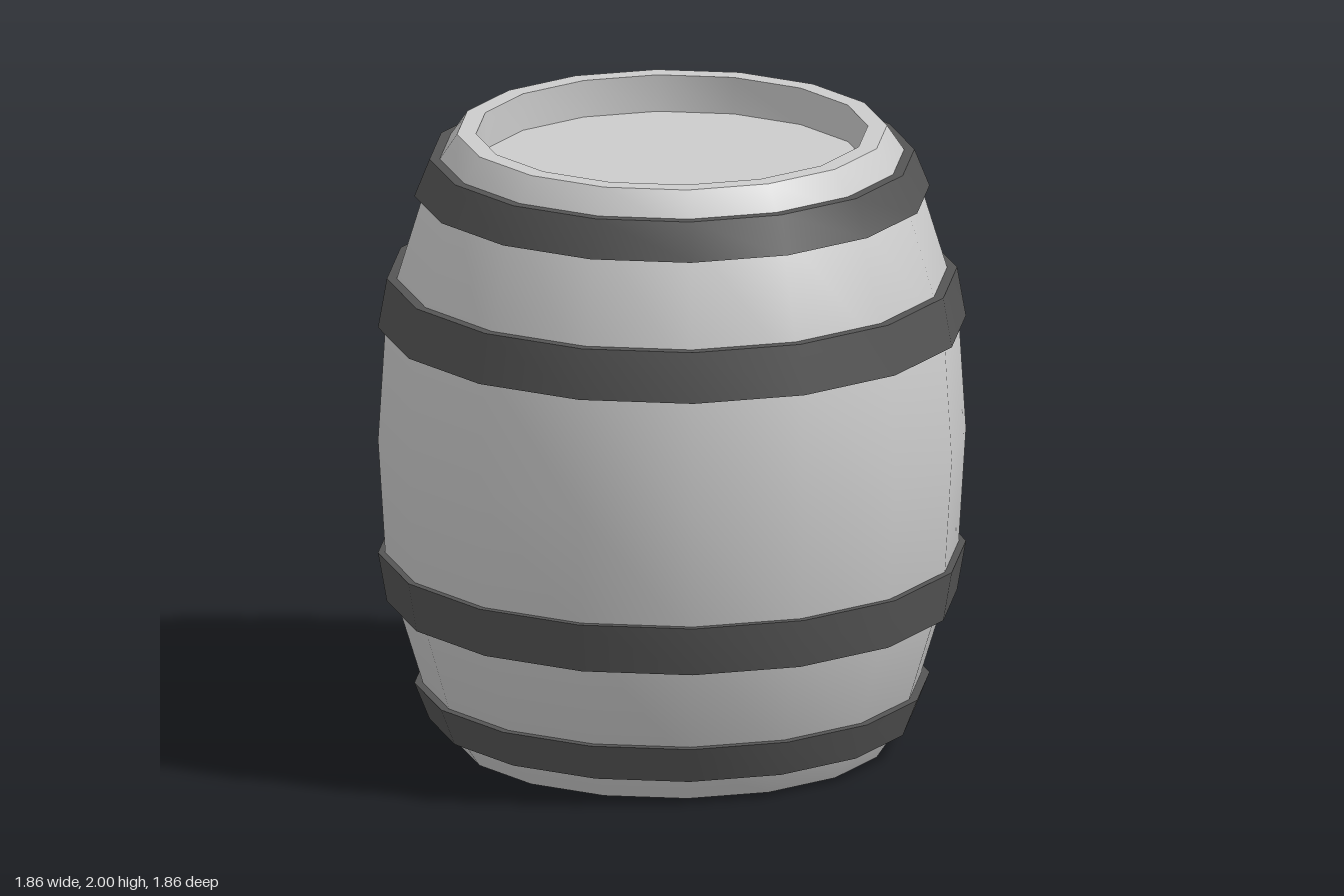
import * as THREE from 'three';
import { toCreasedNormals } from 'three/addons/utils/BufferGeometryUtils.js';

const SIDES = 16;

// Revolve a [radius, height] outline, keeping sharp rims but smooth staves
function revolve(name, outline, material) {
  const points = outline.map(([r, y]) => new THREE.Vector2(r, y));
  const geometry = toCreasedNormals(new THREE.LatheGeometry(points, SIDES), Math.PI / 6);
  const mesh = new THREE.Mesh(geometry, material);
  mesh.name = name;
  return mesh;
}

export function createModel() {
  const group = new THREE.Group();
  group.name = 'barrel';
  const wood = new THREE.MeshStandardMaterial({ color: 0xcccccc });
  const iron = new THREE.MeshStandardMaterial({ color: 0x555555 });

  // Body: lower half from the recessed end, over the rim, to the belly
  const lower = [[0, 0.12], [0.62, 0.12], [0.62, 0], [0.68, 0], [0.765, 0.125], [0.904, 0.58]];
  const upper = lower.map(([r, y]) => [r, 2 - y]).reverse();
  group.add(revolve('body', [...lower, [0.93, 1], ...upper], wood));

  // Hoops: wide edge towards the belly, mirrored top and bottom
  const hoops = [
    { name: 'EndHoop', wide: [0.815, 1.8], narrow: [0.767, 1.92], depth: 0.035 },
    { name: 'BellyHoop', wide: [0.93, 1.37], narrow: [0.902, 1.53], depth: 0.035 },
  ];
  for (const { name, wide, narrow, depth } of hoops) {
    const section = [
      [wide[0] - depth, wide[1]], wide, narrow,
      [narrow[0] - depth, narrow[1]], [wide[0] - depth, wide[1]],
    ];
    group.add(revolve('upper' + name, section, iron));
    const mirrored = section.map(([r, y]) => [r, 2 - y]).reverse();
    group.add(revolve('lower' + name, mirrored, iron));
  }
  return group;
}
